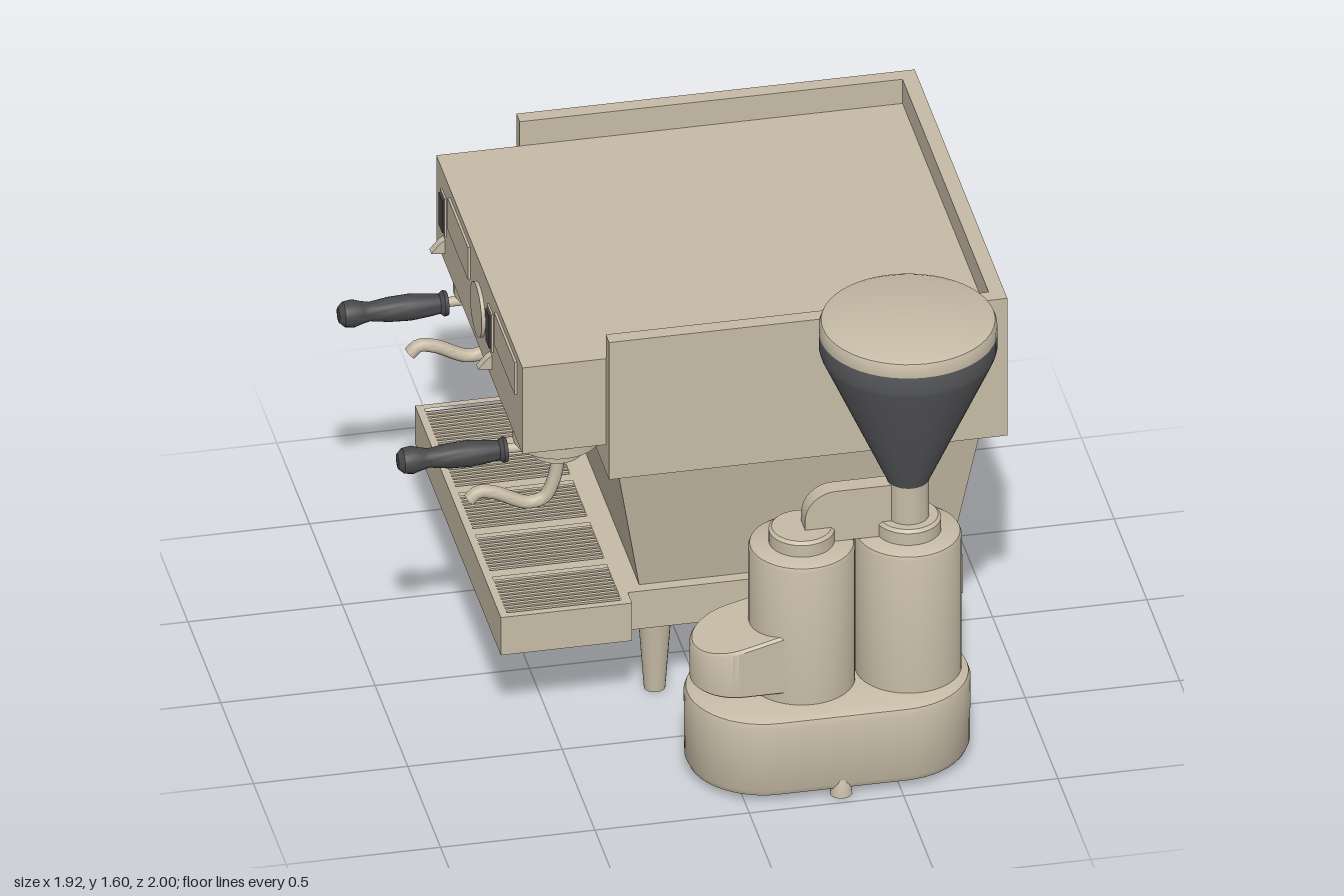
import * as THREE from 'three';
import { toCreasedNormals } from 'three/addons/utils/BufferGeometryUtils.js';

const std = (name, color) => Object.assign(new THREE.MeshStandardMaterial({ color }), { name });

export function createModel() {
  const enamel = std('warm grey enamel', 0xc6bba6);
  const smoked = std('smoked hopper', 0x5a5b5d);
  const black = std('black grip', 0x48484a);

  const root = new THREE.Group();
  root.name = 'coffeeStation';
  const machine = new THREE.Group();
  machine.name = 'espressoMachine';
  const grinder = new THREE.Group();
  grinder.name = 'grinder';
  root.add(machine, grinder);

  const add = (parent, name, geo, mat, x = 0, y = 0, z = 0) => {
    const m = new THREE.Mesh(geo, mat);
    m.name = name;
    m.position.set(x, y, z);
    parent.add(m);
    return m;
  };
  // Box given by its limits on each axis
  const box = (parent, name, [x0, x1], [y0, y1], [z0, z1], mat = enamel) =>
    add(parent, name, new THREE.BoxGeometry(x1 - x0, y1 - y0, z1 - z0), mat,
      (x0 + x1) / 2, (y0 + y1) / 2, (z0 + z1) / 2);
  // Turned part from [radius, height] pairs, bottom to top
  const lathe = (pts, seg = 40) => toCreasedNormals(
    new THREE.LatheGeometry(pts.map(([r, y]) => new THREE.Vector2(r, y)), seg), 0.6);
  // Rounded-end solid: a stadium outline swept through [radius, height] pairs
  const stadium = (x0, x1, profile, lift = () => 0) => {
    const half = 24, n = 2 * half + 2, pos = [], idx = [];
    profile.forEach(([r, y], k) => {
      for (let i = 0; i < n; i++) {
        const right = i <= half;
        const a = -Math.PI / 2 + ((right ? i : i - 1) / half) * Math.PI;
        const x = (right ? x1 : x0) + r * Math.cos(a);
        pos.push(x, y + lift(x, y), r * Math.sin(a));
        if (k < profile.length - 1) {
          const p = k * n + i, q = k * n + (i + 1) % n;
          idx.push(p, p + n, q, q, p + n, q + n);
        }
      }
    });
    const g = new THREE.BufferGeometry();
    g.setAttribute('position', new THREE.Float32BufferAttribute(pos, 3));
    g.setIndex(idx);
    return toCreasedNormals(g, 0.6);
  };

  // ---- Machine body: shell open towards -x, with the main case inside ----
  box(machine, 'shellFloor', [-0.33, 0.96], [0.93, 1.03], [-1, 0.415]);
  box(machine, 'shellBackWall', [0.91, 0.96], [1.03, 1.44], [-1, 0.415]);
  box(machine, 'shellSideWall', [-0.33, 0.91], [1.03, 1.44], [-1, -0.95]);
  box(machine, 'shellSideWall', [-0.33, 0.91], [1.03, 1.44], [0.365, 0.415]);
  box(machine, 'mainCase', [-0.6, 0.91], [1.03, 1.35], [-0.95, 0.365]);

  // Lower body, narrowing downwards
  const taper = new THREE.BoxGeometry(1.18, 0.5, 1.28);
  const tp = taper.attributes.position;
  for (let i = 0; i < tp.count; i++) {
    if (tp.getY(i) < 0) tp.setXYZ(i, tp.getX(i) * 0.856 + 0.005, tp.getY(i), tp.getZ(i) * 0.86);
  }
  taper.computeVertexNormals();
  add(machine, 'lowerBody', taper, enamel, 0.3, 0.68, -0.29);

  // Base and drip tray with five slotted grates
  box(machine, 'basePlate', [-0.245, 0.84], [0.29, 0.43], [-0.875, 0.3]);
  box(machine, 'dripTrayFloor', [-0.67, -0.245], [0.29, 0.405], [-0.945, 0.365]);
  const rim = new THREE.Shape([[-0.67, -0.945], [-0.245, -0.945], [-0.245, 0.365], [-0.67, 0.365]]
    .map(([x, z]) => new THREE.Vector2(x, -z)));
  for (let k = 0; k < 5; k++) {
    const c = -0.81 + k * 0.26;
    rim.holes.push(new THREE.Path([[-0.645, c - 0.11], [-0.275, c - 0.11], [-0.275, c + 0.11], [-0.645, c + 0.11]]
      .map(([x, z]) => new THREE.Vector2(x, -z))));
    for (let j = 0; j < 10; j++) {
      const z = c - 0.09 + j * 0.02;
      box(machine, 'grateBar', [-0.645, -0.275], [0.405, 0.428], [z - 0.006, z + 0.006]);
    }
  }
  const rimGeo = new THREE.ExtrudeGeometry(rim, { depth: 0.025, bevelEnabled: false });
  rimGeo.rotateX(-Math.PI / 2);
  add(machine, 'dripTrayRim', rimGeo, enamel, 0, 0.405, 0);

  // Legs
  for (const x of [-0.135, 0.735]) for (const z of [-0.77, 0.19]) {
    add(machine, 'leg', new THREE.CylinderGeometry(0.055, 0.034, 0.29, 24), enamel, x, 0.145, z);
  }

  // Control panel: display plates, rocker switches, levers and gauge
  for (const z of [-0.585, 0.125]) box(machine, 'displayPlate', [-0.608, -0.6], [1.2, 1.32], [z - 0.155, z + 0.155]);
  const wedge = new THREE.ExtrudeGeometry(new THREE.Shape([
    new THREE.Vector2(-0.6, 1.065), new THREE.Vector2(-0.6, 1.115),
    new THREE.Vector2(-0.615, 1.105), new THREE.Vector2(-0.645, 1.07),
  ].reverse()), { depth: 0.03, bevelEnabled: false });
  for (const z of [-0.83, -0.115]) {
    box(machine, 'switchFrame', [-0.606, -0.6], [1.14, 1.28], [z - 0.035, z + 0.035]);
    box(machine, 'rockerSwitch', [-0.612, -0.605], [1.15, 1.27], [z - 0.027, z + 0.027], black);
    add(machine, 'lever', wedge, enamel, 0, 0, z - 0.015);
  }
  add(machine, 'gauge', new THREE.CylinderGeometry(0.09, 0.09, 0.012, 32), enamel, -0.606, 1.175, -0.29)
    .rotation.z = Math.PI / 2;

  // Brew groups with handle and spout
  const headGeo = lathe([[0, 0.95], [0.14, 0.95], [0.14, 0.985], [0.125, 0.987], [0.125, 0.993],
    [0.14, 0.995], [0.14, 1.03], [0, 1.03]]);
  const basketGeo = lathe([[0, 0.9], [0.085, 0.9], [0.085, 0.952], [0, 0.952]]);
  const gripGeo = lathe([[0, 0], [0.04, 0], [0.042, 0.012], [0.032, 0.025], [0.037, 0.06], [0.043, 0.12],
    [0.04, 0.19], [0.031, 0.25], [0.036, 0.275], [0.045, 0.305], [0.041, 0.335], [0.025, 0.352], [0, 0.356]], 24);
  gripGeo.rotateZ(Math.PI / 2);
  const spoutPath = new THREE.CatmullRomCurve3([[-0.435, 0.91], [-0.455, 0.79], [-0.485, 0.73], [-0.54, 0.718],
    [-0.65, 0.768], [-0.7, 0.775], [-0.728, 0.75]].map(([x, y]) => new THREE.Vector3(x, y, 0)));
  const spoutGeo = toCreasedNormals(new THREE.ExtrudeGeometry(
    new THREE.Shape().absarc(0, 0, 0.022, 0, Math.PI * 2),
    { steps: 28, curveSegments: 8, extrudePath: spoutPath }), 0.8);
  for (const z of [-0.75, 0.155]) {
    const brew = new THREE.Group();
    brew.name = 'brewGroup';
    brew.position.z = z;
    machine.add(brew);
    add(brew, 'groupHead', headGeo, enamel, -0.445);
    add(brew, 'filterBasket', basketGeo, enamel, -0.445);
    add(brew, 'handleRod', new THREE.CylinderGeometry(0.016, 0.016, 0.12, 16), enamel, -0.565, 0.925, 0)
      .rotation.z = Math.PI / 2;
    add(brew, 'handleGrip', gripGeo, black, -0.608, 0.922, 0);
    add(brew, 'spout', spoutGeo, enamel);
  }

  // ---- Grinder ----
  grinder.position.z = 0.715;
  // Base with rounded edges and a recessed underside
  add(grinder, 'grinderBase', stadium(0.105, 0.52, [[0, 0.06], [0.205, 0.06], [0.21, 0.025], [0.225, 0.02],
    [0.24, 0.028], [0.25, 0.05], [0.252, 0.275], [0.245, 0.295], [0.225, 0.305], [0, 0.305]]), enamel);
  // Chute with a sloping top
  add(grinder, 'chute', stadium(0.015, 0.2, [[0, 0.34], [0.14, 0.34], [0.145, 0.345], [0.145, 0.47],
    [0.138, 0.48], [0, 0.48]], (x, y) => (y > 0.4 ? (x + 0.13) * 0.26 : 0)), enamel);
  // Feet
  for (const [x, z, h] of [[-0.08, 0, 0.065], [0.71, 0, 0.065], [0.31, 0.225, 0.075], [0.31, -0.225, 0.075]]) {
    add(grinder, 'foot', lathe([[0, 0], [0.036, 0], [0.028, h - 0.02], [0.018, h], [0, h]], 20), enamel, x, 0, z);
  }
  // Twin towers with collars
  const towerGeo = lathe([[0.17, 0.3], [0.17, 0.795], [0.165, 0.808], [0.153, 0.815], [0, 0.815]], 48);
  const collarGeo = lathe([[0.105, 0.81], [0.105, 0.858], [0.095, 0.868], [0, 0.868]]);
  for (const x of [0.23, 0.575]) {
    add(grinder, 'tower', towerGeo, enamel, x);
    add(grinder, 'collar', collarGeo, enamel, x);
  }
  // Bridge joining the towers
  const arch = new THREE.Shape();
  arch.moveTo(0.235, 0.815);
  arch.lineTo(0.56, 0.815);
  arch.lineTo(0.56, 1);
  arch.lineTo(0.335, 1);
  arch.absarc(0.335, 0.9, 0.1, Math.PI / 2, Math.PI, false);
  add(grinder, 'bridge', toCreasedNormals(
    new THREE.ExtrudeGeometry(arch, { depth: 0.06, bevelEnabled: false }), 0.6), enamel, 0, 0, -0.03);
  // Neck, hopper and lid
  add(grinder, 'neck', lathe([[0.067, 0.86], [0.067, 1.008], [0, 1.008]]), enamel, 0.575);
  add(grinder, 'hopper', lathe([[0, 1.0], [0.066, 1.0], [0.275, 1.465], [0.283, 1.49], [0.283, 1.545], [0, 1.545]], 48),
    smoked, 0.575);
  add(grinder, 'lid', lathe([[0, 1.545], [0.283, 1.545], [0.283, 1.575], [0.276, 1.592], [0.258, 1.6], [0, 1.6]], 48),
    enamel, 0.575);

  return root;
}
